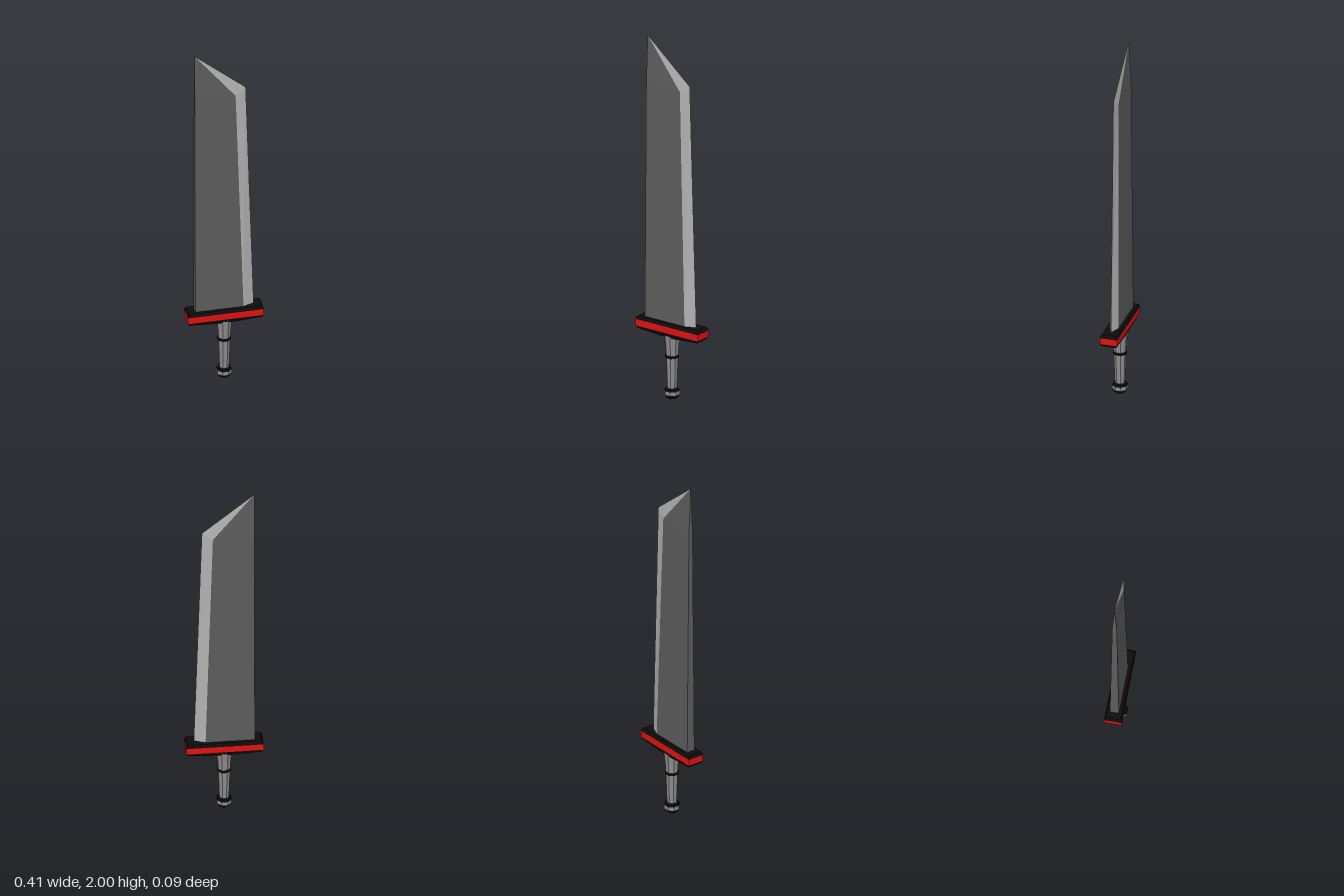
import * as THREE from 'three';

const mat = (color) => new THREE.MeshStandardMaterial({ color, flatShading: true });
const DARK = mat(0x5c5c5c), LIGHT = mat(0xb0b0b0), GRIP = mat(0x8c8c8c);
const BLACK = mat(0x0c0c0c), RED = mat(0xe01010);

// Flat mesh from convex polygons, fanned into triangles
function polyMesh(name, polys, material) {
  const pos = [];
  for (const p of polys)
    for (let i = 1; i < p.length - 1; i++) pos.push(...p[0], ...p[i], ...p[i + 1]);
  const g = new THREE.BufferGeometry();
  g.setAttribute('position', new THREE.Float32BufferAttribute(pos, 3));
  g.computeVertexNormals();
  const m = new THREE.Mesh(g, material);
  m.name = name;
  return m;
}

// Adds the z-mirrored copy of each polygon
const mirrorZ = (polys) =>
  polys.concat(polys.map((p) => p.map(([x, y, z]) => [x, y, -z]).reverse()));

// Rectangular sections [halfX, y, halfZ], bottom to top
function rectLoft(name, sections, material, capBottom, capTop) {
  const rings = sections.map(([x, y, z]) => [[-x, y, z], [x, y, z], [x, y, -z], [-x, y, -z]]);
  const polys = [];
  for (let s = 0; s < rings.length - 1; s++)
    for (let i = 0; i < 4; i++) {
      const j = (i + 1) % 4;
      polys.push([rings[s][i], rings[s][j], rings[s + 1][j], rings[s + 1][i]]);
    }
  if (capBottom) polys.push([...rings[0]].reverse());
  if (capTop) polys.push(rings[rings.length - 1]);
  return polyMesh(name, polys, material);
}

// Eight-sided turned part from [radius across flats, y], bottom to top
function turned(name, profile, material) {
  const pts = profile.map(([r, y]) => new THREE.Vector2(r / Math.cos(Math.PI / 8), y));
  const m = new THREE.Mesh(new THREE.LatheGeometry(pts, 8, Math.PI / 8), material);
  m.name = name;
  return m;
}

export function createModel() {
  const sword = new THREE.Group();
  sword.name = 'sword';

  // Blade: thick straight spine, bevelled cutting edge, slanted point
  const tip = [-0.16, 2, 0];
  const spine0 = [-0.16, 0.42, 0.024], spine1 = [-0.16, 1.73, 0.012];
  const bevel0 = [0.1, 0.42, 0.024], bevel1 = [0.06, 1.73, 0.011];
  const edge0 = [0.16, 0.42, 0], edge1 = [0.117, 1.77, 0];
  const back0 = [-0.16, 0.42, 0], back1 = [-0.16, 1.73, 0];
  const blade = new THREE.Group();
  blade.name = 'blade';
  blade.add(
    polyMesh('bladeBody', mirrorZ([
      [spine0, bevel0, bevel1, spine1], [spine1, bevel1, tip],
      [spine0, spine1, back1, back0], [spine1, tip, back1],
    ]), DARK),
    polyMesh('cuttingEdge', mirrorZ([[bevel0, edge0, edge1, bevel1], [bevel1, edge1, tip]]), LIGHT),
  );

  // Guard: red band between black chamfered plates
  const guard = new THREE.Group();
  guard.name = 'guard';
  guard.add(
    rectLoft('guardBottom', [[0.05, 0.35, 0.036], [0.195, 0.362, 0.04], [0.205, 0.376, 0.047]], BLACK, true, false),
    rectLoft('guardBand', [[0.205, 0.376, 0.047], [0.205, 0.412, 0.047]], RED, false, false),
    rectLoft('guardTop', [[0.205, 0.412, 0.047], [0.203, 0.42, 0.046], [0.195, 0.43, 0.04]], BLACK, false, true),
  );

  // Handle: tapered grip with a dark ring
  const handle = new THREE.Group();
  handle.name = 'handle';
  handle.add(
    turned('grip', [[0.025, 0.055], [0.031, 0.235], [0.034, 0.29], [0.04, 0.357]], GRIP),
    turned('gripRing', [[0.03, 0.229], [0.034, 0.231], [0.034, 0.244], [0.031, 0.246]], BLACK),
  );

  // Pommel: grey band between dark collar and dark base
  const pommel = new THREE.Group();
  pommel.name = 'pommel';
  pommel.add(
    turned('pommelBase', [[0, 0], [0.022, 0.002], [0.032, 0.01], [0.039, 0.026]], BLACK),
    turned('pommelBand', [[0.039, 0.026], [0.039, 0.046]], GRIP),
    turned('pommelCollar', [[0.039, 0.046], [0.034, 0.058], [0.024, 0.062]], BLACK),
  );

  sword.add(blade, guard, handle, pommel);
  return sword;
}
